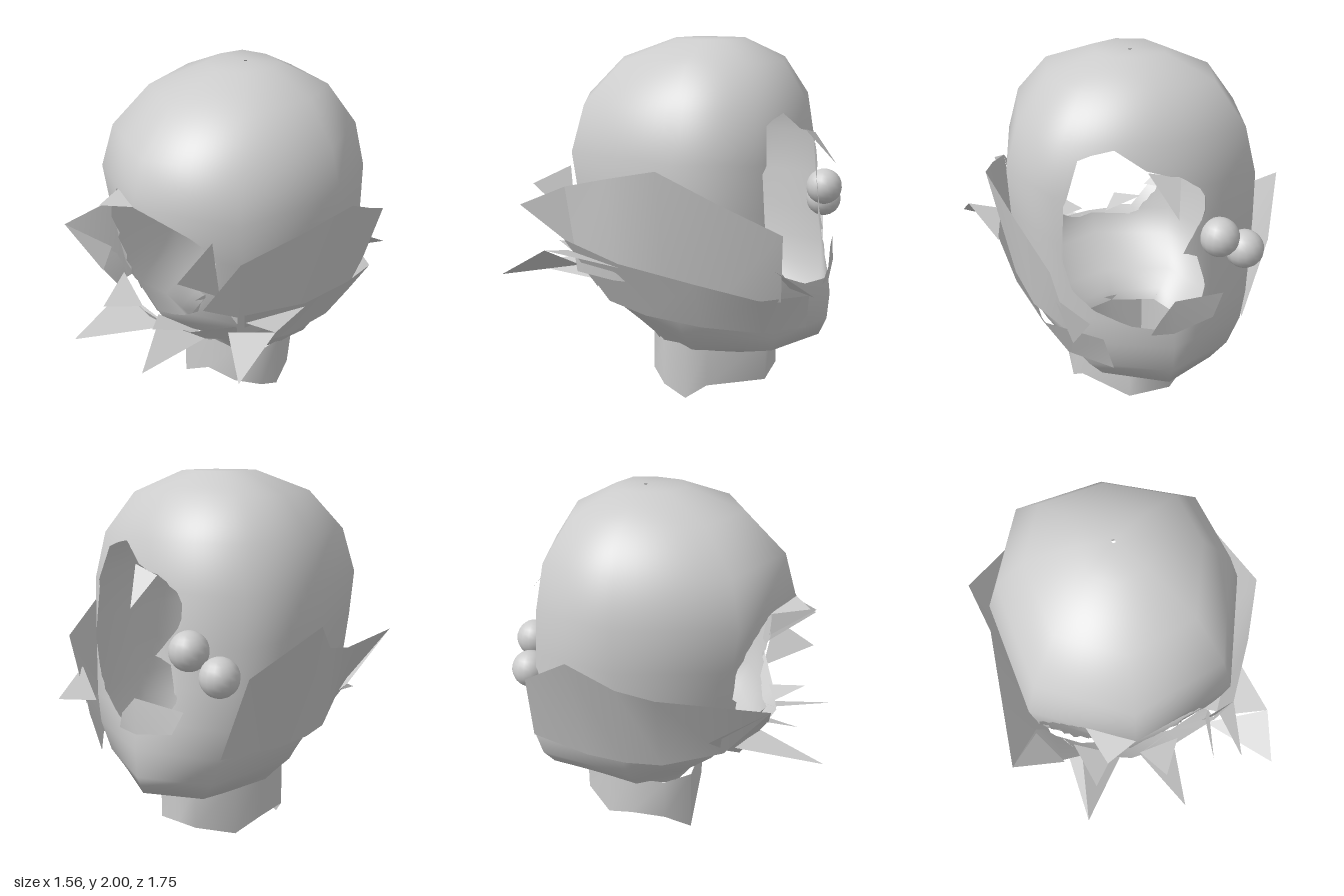
import * as THREE from 'three';

const material = new THREE.MeshStandardMaterial({ color: 0xcccccc, side: THREE.DoubleSide });

function addMesh(group, geometry, name) {
  const mesh = new THREE.Mesh(geometry, material);
  mesh.name = name;
  group.add(mesh);
  return mesh;
}

function indexed(positions, index) {
  const g = new THREE.BufferGeometry();
  g.setAttribute('position', new THREE.Float32BufferAttribute(positions, 3));
  g.setIndex(index);
  g.computeVertexNormals();
  return g;
}

// Surface between an upper and a lower edge with the same number of points
function strip(upper, lower) {
  const n = upper.length, index = [];
  for (let i = 0; i < n - 1; i++) index.push(i, n + i, i + 1, i + 1, n + i, n + i + 1);
  return indexed([...upper, ...lower].flat(), index);
}

// Triangles of a closed grid of rings
function gridTriangles(rows, cols) {
  const tris = [];
  for (let j = 0; j < rows - 1; j++) for (let i = 0; i < cols; i++) {
    const a = j * cols + i, b = j * cols + (i + 1) % cols;
    tris.push([a, a + cols, b], [b, a + cols, b + cols]);
  }
  return tris;
}

// Torn openings as x, y outlines
const frontHole = [[-0.5, 1.15], [-0.38, 1.3], [-0.25, 1.43], [0, 1.45], [0.28, 1.31], [0.39, 1.22],
  [0.37, 1.03], [0.27, 1.03], [0.3, 0.96], [0.24, 0.83], [0.12, 0.76], [-0.26, 0.76], [-0.38, 0.9]];
const backHole = [[0.4, 1.62], [0.24, 1.66], [0.1, 1.56], [-0.06, 1.52], [-0.2, 1.42],
  [-0.2, 1.3], [-0.07, 1.13], [-0.15, 1.1], [-0.2, 0.92], [-0.15, 0.82], [0, 0.74], [0.2, 0.76],
  [0.36, 0.84], [0.46, 0.95], [0.5, 1.12], [0.48, 1.4]];

function inside(poly, x, y) {
  let hit = false;
  poly.forEach(([x1, y1], i) => {
    const [x2, y2] = poly[(i + 1) % poly.length];
    if ((y1 > y) !== (y2 > y) && x < x1 + (x2 - x1) * (y - y1) / (y2 - y1)) hit = !hit;
  });
  return hit;
}

function nearestOnOutline(poly, x, y) {
  const p = new THREE.Vector3(x, y, 0), best = new THREE.Vector3(), q = new THREE.Vector3();
  let min = Infinity;
  poly.forEach(([x1, y1], i) => {
    const [x2, y2] = poly[(i + 1) % poly.length];
    new THREE.Line3(new THREE.Vector3(x1, y1, 0), new THREE.Vector3(x2, y2, 0)).closestPointToPoint(p, true, q);
    if (q.distanceTo(p) < min) { min = q.distanceTo(p); best.copy(q); }
  });
  return best;
}

// Hollow eight-sided head with smooth normals, subdivided so the openings can be cut
function headGeometry() {
  const rings = [[2.0, 0.01, -0.16, -0.18], [2.0, 0.18, 0.05, -0.33], [1.89, 0.43, 0.36, -0.55],
    [1.68, 0.59, 0.58, -0.69], [1.44, 0.66, 0.65, -0.73], [1.2, 0.65, 0.61, -0.76],
    [0.98, 0.63, 0.57, -0.79], [0.8, 0.6, 0.54, -0.83], [0.65, 0.56, 0.46, -0.85],
    [0.5, 0.48, 0.23, -0.84], [0.4, 0.38, 0.15, -0.8], [0.34, 0.325, 0.13, -0.53]];
  // x and z of the eight corners as fractions of half width and depth
  const corners = [[0, 1], [0.78, 0.73], [1, 0], [0.8, -0.7], [0, -1], [-0.77, -0.8], [-1, 0], [-0.77, 0.73]];
  const centre = -0.17;
  const points = rings.flatMap(([y, w, f, b]) => corners.flatMap(([u, v]) =>
    [u * w, y, centre + v * (v > 0 ? f - centre : centre - b)]));
  const coarse = indexed(points, gridTriangles(rings.length, 8).flat());

  const sub = 10, rows = (rings.length - 1) * sub + 1, cols = 8 * sub;
  const blend = (attribute, j, i) => {
    const r = Math.min(Math.floor(j / sub), rings.length - 2), c = Math.floor(i / sub), d = (c + 1) % 8;
    const at = (row, col) => new THREE.Vector3().fromBufferAttribute(attribute, row * 8 + col);
    const t = (i % sub) / sub;
    return at(r, c).lerp(at(r, d), t).lerp(at(r + 1, c).lerp(at(r + 1, d), t), j / sub - r);
  };
  const pos = [], normals = [], holeOf = [];
  for (let j = 0; j < rows; j++) for (let i = 0; i < cols; i++) {
    const p = blend(coarse.attributes.position, j, i);
    const hole = p.z > centre ? frontHole : backHole;
    pos.push(...p);
    normals.push(...blend(coarse.attributes.normal, j, i).normalize());
    holeOf.push(inside(hole, p.x, p.y) ? hole : null);
  }
  const kept = gridTriangles(rows, cols).filter(tri => !tri.every(v => holeOf[v]));
  new Set(kept.flat().filter(v => holeOf[v])).forEach(v => {
    const p = nearestOnOutline(holeOf[v], pos[v * 3], pos[v * 3 + 1]);
    pos[v * 3] = p.x;
    pos[v * 3 + 1] = p.y;
  });
  const head = indexed(pos, kept.flat());
  head.setAttribute('normal', new THREE.Float32BufferAttribute(normals, 3));
  return head;
}

export function createModel() {
  const model = new THREE.Group();
  addMesh(model, headGeometry(), 'head');

  // Neck: open tube with a torn lower edge, [x, z, lower y]
  const neck = [[-0.2, 0.13, 0], [0, 0.13, 0.13], [0.2, 0.11, 0.13], [0.32, 0, 0.1], [0.33, -0.13, 0.04],
    [0.31, -0.25, 0.13], [0.12, -0.53, 0.13], [0, -0.53, 0.13], [-0.12, -0.53, 0.13], [-0.26, -0.36, 0.07],
    [-0.32, -0.2, 0.13], [-0.32, 0, 0.13], [-0.2, 0.13, 0]];
  addMesh(model, strip(neck.map(([x, z]) => [x, 0.37, z]), neck.map(([x, z, y]) => [x, y, z])), 'neck');

  // Side flaps standing away from the head and running into it below
  addMesh(model, strip(
    [[0.55, 1.26, 0.46], [0.67, 1.35, 0.16], [0.76, 1.43, -0.14], [0.68, 1.28, -0.42], [0.59, 1.13, -0.72]],
    [[0.5, 0.78, 0.43], [0.61, 0.8, 0.16], [0.64, 0.82, -0.14], [0.61, 0.78, -0.42], [0.5, 0.76, -0.7]]), 'leftUpperFlap');
  addMesh(model, strip(
    [[0.58, 0.98, 0.46], [0.68, 0.92, 0.1], [0.67, 0.86, -0.3], [0.6, 0.79, -0.62], [0.36, 0.76, -0.81]],
    [[0.42, 0.6, 0.28], [0.52, 0.59, 0.02], [0.54, 0.58, -0.3], [0.48, 0.57, -0.6], [0.3, 0.56, -0.79]]), 'leftLowerFlap');
  addMesh(model, strip(
    [[-0.65, 1.09, 0.62], [-0.69, 1.1, 0.05], [-0.7, 1.14, -0.15], [-0.78, 1.3, -0.37], [-0.58, 1.08, -0.68]],
    [[-0.45, 0.7, 0.36], [-0.55, 0.64, 0.05], [-0.57, 0.64, -0.15], [-0.54, 0.64, -0.37], [-0.44, 0.66, -0.72]]), 'rightFlap');

  // Collar hanging across the front below the opening, and the folded lip of the rear one
  addMesh(model, strip(
    [[-0.65, 1.09, 0.62], [-0.4, 0.88, 0.57], [-0.27, 0.77, 0.53], [0, 0.75, 0.58], [0.26, 0.75, 0.53], [0.5, 0.86, 0.44]],
    [[-0.56, 0.82, 0.3], [-0.42, 0.7, 0.38], [-0.28, 0.61, 0.42], [0, 0.61, 0.44], [0.26, 0.65, 0.42], [0.48, 0.7, 0.32]]), 'collar');
  addMesh(model, strip(
    [[-0.28, 0.89, -0.8], [0, 0.92, -0.84], [0.08, 0.83, -0.85]],
    [[-0.22, 0.77, -0.82], [0, 0.73, -0.84], [0.12, 0.74, -0.83]]), 'rearLip');

  // Torn points around the openings and flaps
  const shards = [
    [[-0.29, 0.61, 0.88], [-0.28, 0.77, 0.53], [0, 0.61, 0.44]],
    [[-0.29, 0.61, 0.88], [-0.38, 0.7, 0.4], [-0.28, 0.77, 0.53]],
    [[0.27, 0.69, 0.88], [0.05, 0.74, 0.56], [0.26, 0.65, 0.42]],
    [[0.18, 0.83, 0.72], [0.05, 0.78, 0.56], [0.28, 0.76, 0.5]],
    [[0.4, 1.22, 0.74], [0.4, 1.34, 0.5], [0.42, 1.02, 0.47]],
    [[0.56, 1.14, 0.73], [0.55, 1.26, 0.46], [0.52, 0.92, 0.43]],
    [[0.4, 1.02, 0.48], [0.55, 1.26, 0.46], [0.5, 0.86, 0.42]],
    [[0.78, 0.82, 0.72], [0.78, 0.98, 0.46], [0.45, 0.8, 0.44]],
    [[0.78, 0.98, 0.46], [0.57, 0.92, 0.44], [0.68, 0.9, 0.1]],
    [[-0.15, 1.44, 0.74], [-0.24, 1.43, 0.54], [0, 1.45, 0.65]],
    [[-0.65, 1.09, 0.62], [-0.38, 0.88, 0.58], [-0.52, 0.9, 0.4]],
    [[-0.22, 0.78, 0.72], [-0.32, 0.85, 0.48], [-0.1, 0.75, 0.54]],
    [[0, 1.37, -0.85], [0.1, 1.56, -0.7], [-0.06, 1.52, -0.72]],
    [[0.53, 0.82, -0.87], [0.56, 0.95, -0.66], [0.4, 0.8, -0.72]]];
  const shardGroup = new THREE.Group();
  shardGroup.name = 'tornPoints';
  shards.forEach(s => addMesh(shardGroup, indexed(s.flat(), [0, 1, 2]), 'tornPoint'));
  model.add(shardGroup);

  // Round lumps beside the rear opening
  for (const [x, y, z, r] of [[-0.27, 1.18, -0.74, 0.1], [-0.43, 1.07, -0.71, 0.1]])
    addMesh(model, new THREE.SphereGeometry(r, 16, 12), 'lump').position.set(x, y, z);

  return model;
}
